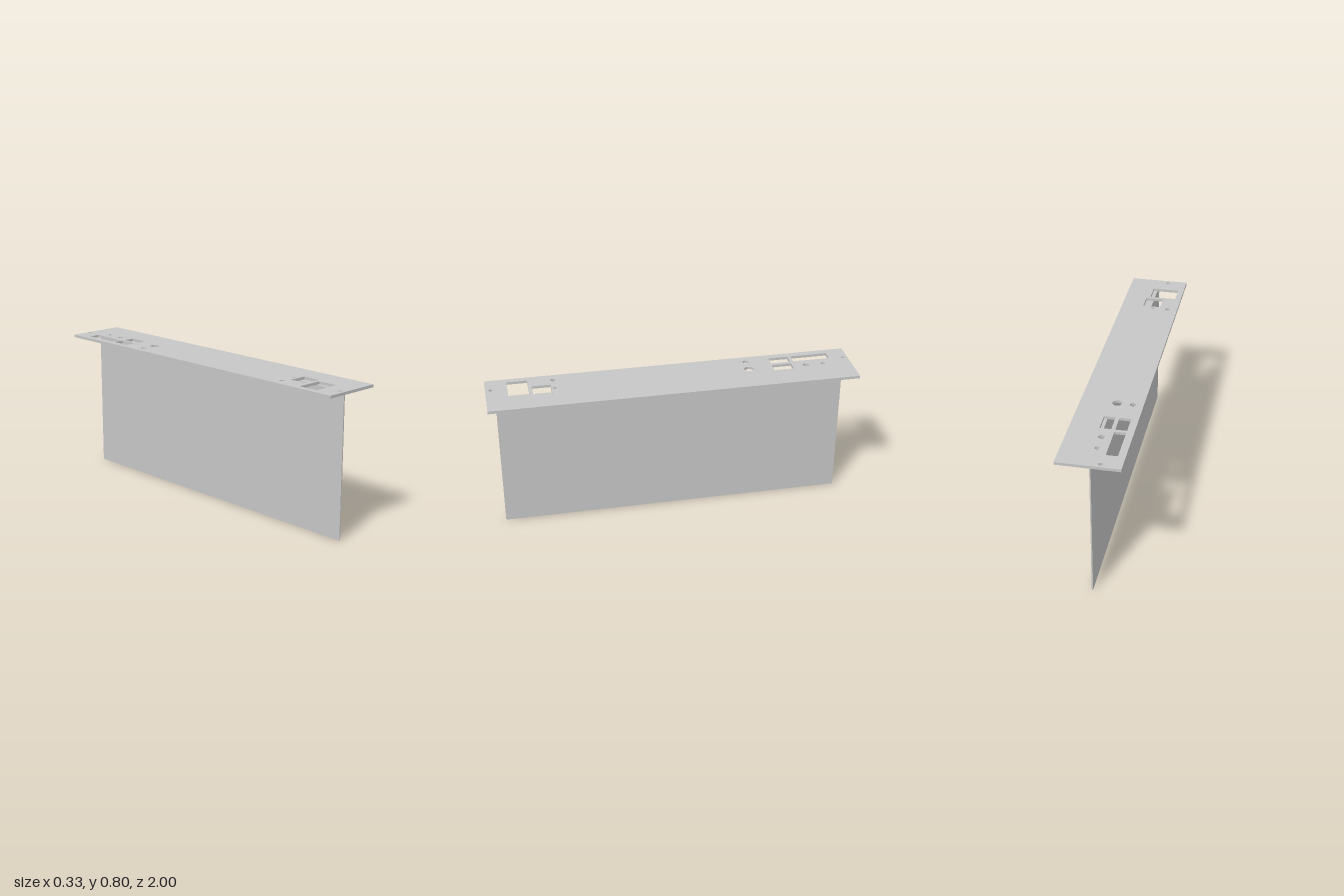
import * as THREE from 'three';

const TOP = 0.801, UNDER = 0.786, LIP_BOTTOM = 0.779;

// Rectangular cut-outs: x min, x max, z min, z max
const slots = [
  [-0.125, -0.066, -0.895, -0.69],
  [-0.125, -0.066, -0.672, -0.563],
  [-0.046, 0.013, -0.672, -0.563],
  [-0.06, 0.039, 0.653, 0.753],
  [-0.13, 0.018, 0.772, 0.883],
];

// Round holes: x, z, radius
const drills = [
  [-0.059, -0.975, 0.011],
  [-0.013, -0.845, 0.012],
  [-0.013, -0.748, 0.016],
  [-0.108, -0.429, 0.016],
  [-0.027, -0.43, 0.025],
  [-0.107, 0.634, 0.014],
  [-0.021, 0.632, 0.009],
  [-0.057, 0.97, 0.011],
];

// Rectangle in plan; shape y is -z
function trace(path, x0, x1, z0, z1) {
  path.moveTo(x0, -z1);
  path.lineTo(x1, -z1);
  path.lineTo(x1, -z0);
  path.lineTo(x0, -z0);
  path.closePath();
  return path;
}

export function createModel() {
  const model = new THREE.Group();
  model.name = 'panelBracket';
  const metal = new THREE.MeshStandardMaterial({ color: 0xc6c6c6 });
  metal.name = 'light grey metal';

  const add = (name, geometry) => {
    const mesh = new THREE.Mesh(geometry, metal);
    mesh.name = name;
    model.add(mesh);
    return mesh;
  };
  const addBox = (name, x0, x1, y0, y1, halfLength) =>
    add(name, new THREE.BoxGeometry(x1 - x0, y1 - y0, 2 * halfLength))
      .position.set((x0 + x1) / 2, (y0 + y1) / 2, 0);

  // Face plate with cut-outs
  const outline = trace(new THREE.Shape(), -0.163, 0.163, -1, 1);
  for (const s of slots) outline.holes.push(trace(new THREE.Path(), ...s));
  for (const [x, z, r] of drills) {
    outline.holes.push(new THREE.Path().absarc(x, -z, r, 0, Math.PI * 2, true));
  }
  const plate = new THREE.ExtrudeGeometry(outline, {
    depth: TOP - UNDER, bevelEnabled: false, curveSegments: 24,
  });
  plate.rotateX(-Math.PI / 2);
  plate.translate(0, UNDER, 0);
  add('facePlate', plate);

  // Upright sheet and its folded lip under the plate
  addBox('uprightSheet', -0.004, 0.003, 0, UNDER, 0.952);
  addBox('foldedLip', 0.003, 0.06, LIP_BOTTOM, UNDER, 0.952);

  return model;
}
